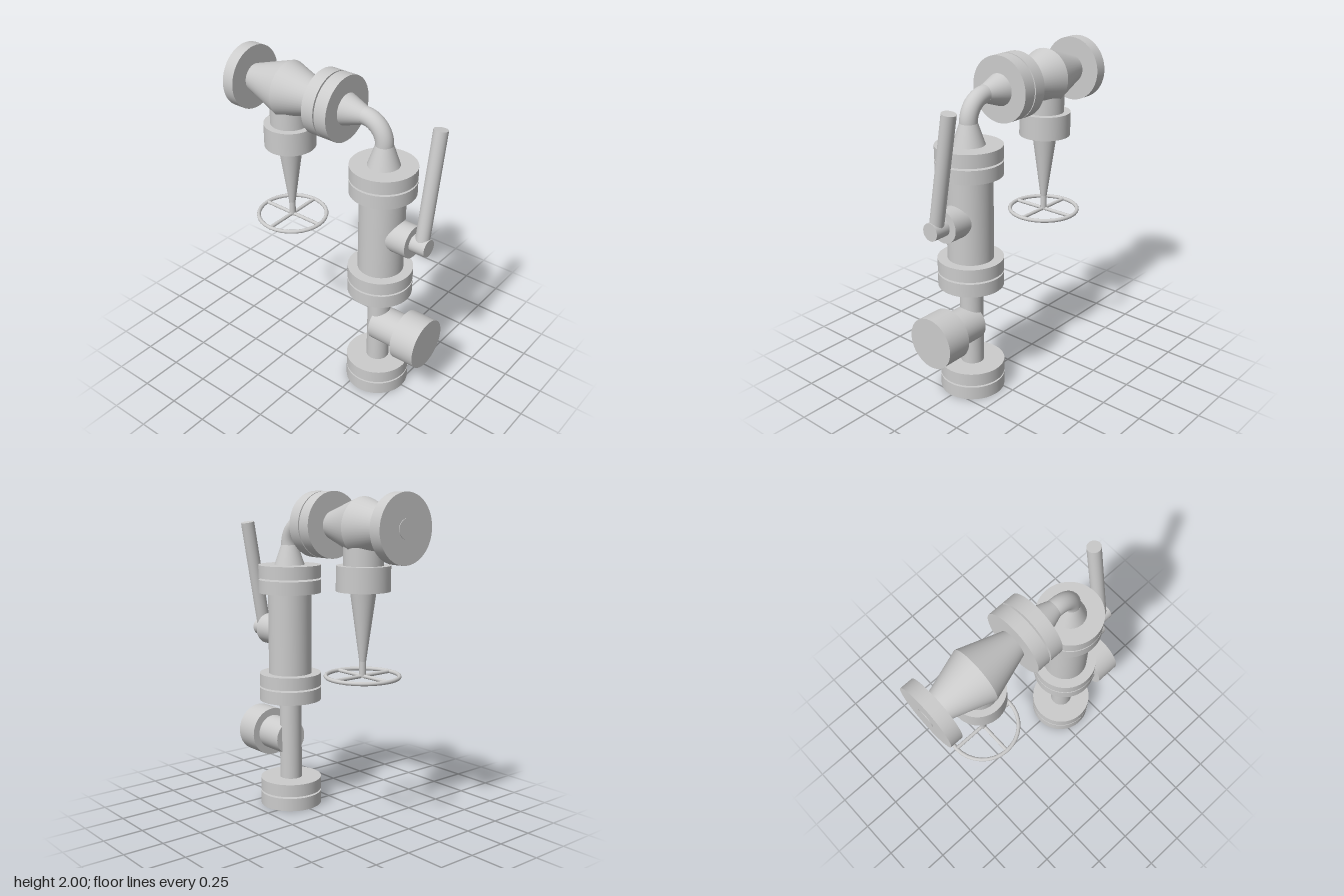
import * as THREE from 'three';

export function createModel() {
  const model = new THREE.Group();
  const mat = new THREE.MeshStandardMaterial({ color: 0xcccccc });
  const UP = new THREE.Vector3(0, 1, 0);

  const add = (name, geometry, parent = model) => {
    const mesh = new THREE.Mesh(geometry, mat);
    mesh.name = name;
    parent.add(mesh);
    return mesh;
  };

  // Capped round bar or cone running from point a (radius ra) to point b (radius rb)
  const bar = (name, a, b, ra, rb = ra, parent = model, sides = 48) => {
    const start = new THREE.Vector3(...a), end = new THREE.Vector3(...b);
    const dir = end.clone().sub(start);
    const mesh = add(name, new THREE.CylinderGeometry(rb, ra, dir.length(), sides), parent);
    mesh.position.copy(start).add(end).multiplyScalar(0.5);
    mesh.quaternion.setFromUnitVectors(UP, dir.normalize());
    return mesh;
  };

  const X = 0.335;   // column axis
  const Y = 1.805;   // upper line axis
  const V = -0.35;   // valve axis
  const column = (name, y0, y1, r0, r1) => bar(name, [X, y0, 0], [X, y1, 0], r0, r1);
  const line = (name, x0, x1, r0, r1, y = Y) => bar(name, [x0, y, 0], [x1, y, 0], r0, r1);
  const stemPart = (name, y0, y1, r0, r1) => bar(name, [V, y0, 0], [V, y1, 0], r0, r1);

  // Flange pairs of the column, with a gasket in each gap
  for (const y of [0, 0.69, 1.375]) {
    column('lowerFlange', y, y + 0.082, 0.195);
    column('gasket', y + 0.08, y + 0.097, 0.055);
    column('upperFlange', y + 0.094, y + 0.173, 0.195);
  }

  // Column pipes and the reducer on top
  column('lowerPipe', 0.17, 0.7, 0.07);
  column('columnBody', 0.855, 1.38, 0.136);
  column('verticalReducer', 1.545, 1.67, 0.095, 0.052);

  // Quarter bend leading into the upper line
  const bend = new THREE.CurvePath();
  const k = 0.135 * 0.5523;
  bend.add(new THREE.CubicBezierCurve3(
    new THREE.Vector3(X, 1.67, 0), new THREE.Vector3(X, 1.67 + k, 0),
    new THREE.Vector3(0.2 + k, Y, 0), new THREE.Vector3(0.2, Y, 0)));
  add('elbow', new THREE.TubeGeometry(bend, 32, 0.052, 40));

  // Upper line
  line('horizontalReducer', 0.075, 0.2, 0.095, 0.052);
  line('lineFlange', -0.003, 0.078, 0.195);
  line('gasket', -0.015, 0, 0.055);
  line('valveInnerFlange', -0.092, -0.012, 0.195);
  line('valveOuterFlange', -0.686, -0.61, 0.195);
  line('outletFace', -0.69, -0.68, 0.055);

  // Double-cone valve body
  line('valveBodyOuter', -0.612, V, 0.083, 0.168);
  line('valveBodyInner', V, -0.09, 0.168, 0.083);

  // Bonnet and stem under the valve
  stemPart('bonnetNeck', 1.58, 1.78, 0.116);
  stemPart('bonnet', 1.445, 1.59, 0.156);
  stemPart('stemCone', 1.04, 1.446, 0.02, 0.076);
  stemPart('stem', 0.945, 1.045, 0.02);

  // Handwheel with four spokes
  const wheel = new THREE.Group();
  wheel.name = 'handwheel';
  wheel.position.set(V, 0.953, 0);
  model.add(wheel);
  add('rim', new THREE.TorusGeometry(0.213, 0.012, 12, 32).rotateX(Math.PI / 2), wheel);
  bar('spokeAcross', [-0.213, 0, 0], [0.213, 0, 0], 0.011, 0.011, wheel, 16);
  bar('spokeAlong', [0, 0, -0.213], [0, 0, 0.213], 0.011, 0.011, wheel, 16);

  // Side outlet with its cap
  line('sideOutlet', X, 0.535, 0.11, 0.11, 0.43);
  line('sideCap', 0.53, 0.69, 0.156, 0.156, 0.43);

  // Lever with its boss and pivot
  line('leverBoss', 0.4, 0.56, 0.098, 0.098, 1.12);
  line('leverPivot', 0.55, 0.66, 0.053, 0.053, 1.12);
  bar('lever', [0.612, 1.12, 0], [0.612, 1.803, -0.12], 0.042);

  return model;
}
